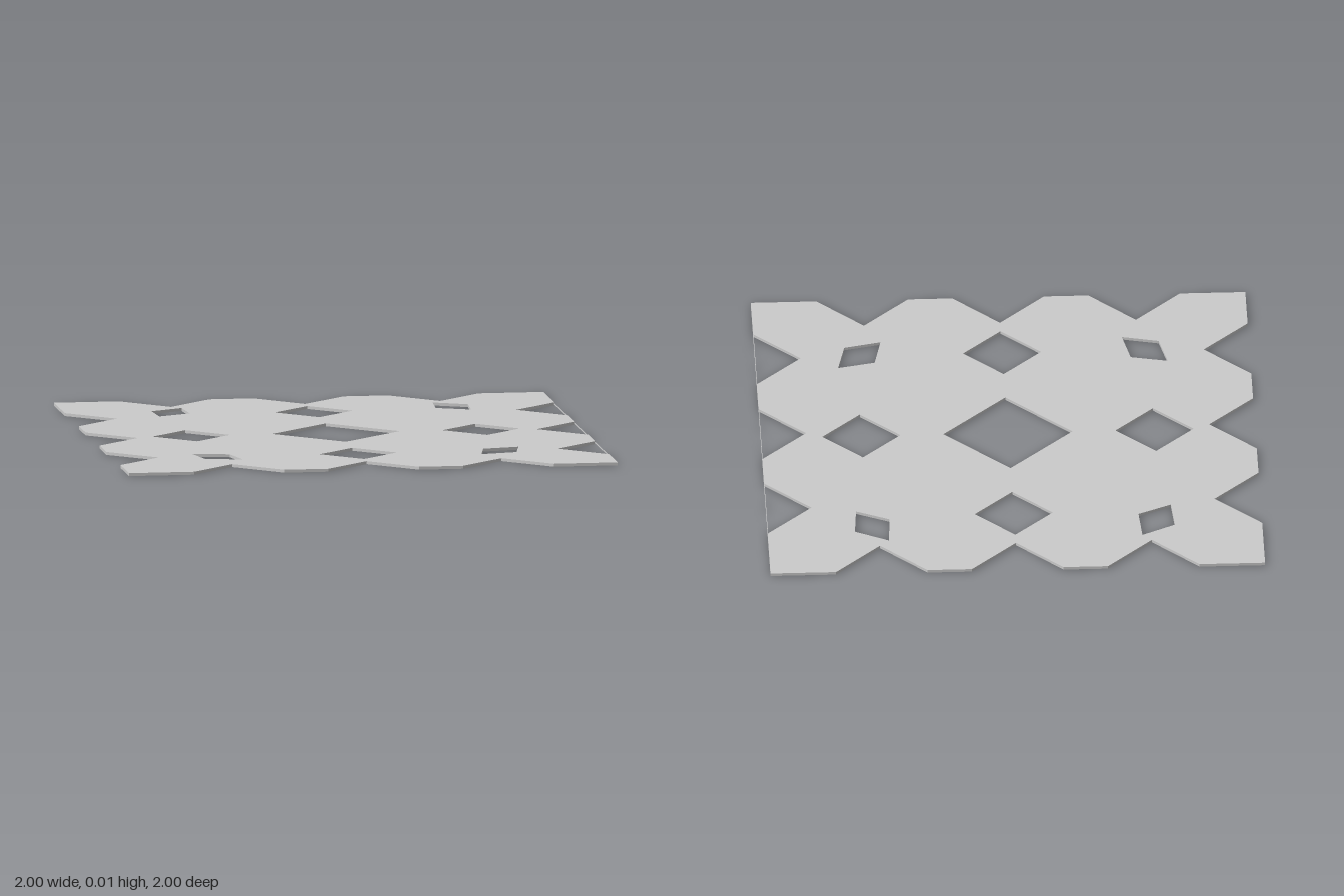
import * as THREE from 'three';

const T = 0.012; // sheet thickness

const points = (list) => list.map(([x, z]) => new THREE.Vector2(x, z));
const mirrorX = (list) => list.map(([x, z]) => [-x, z]);
const diamond = (x, z, r) => [[x - r, z], [x, z - r], [x + r, z], [x, z + r]];

export function createModel() {
  const group = new THREE.Group();
  group.name = 'cutPaperSheet';
  const material = new THREE.MeshStandardMaterial({ color: 0xcccccc });

  // Outline drawn in (x, z): square with three V notches on each side
  const notchX = [-0.55, 0, 0.55];
  const notchZ = [-0.52, 0.03, 0.583];
  const h = 0.185;
  const back = notchX.flatMap((x) => [[x - h, -1], [x, -0.813], [x + h, -1]]);
  const right = notchZ.flatMap((z) => [[1, z - h], [0.815, z], [1, z + h]]);
  const front = back.map(([x, z]) => [x, -z]).reverse();
  const left = mirrorX(right).reverse();
  const shape = new THREE.Shape(points([
    [-1, -1], ...back, [1, -1], ...right, [1, 1], ...front, [-1, 1], ...left,
  ]));

  // Cut-outs: large centre diamond, four smaller ones, four skewed rhombs
  const backRhomb = [[-0.513, -0.775], [-0.503, -0.62], [-0.637, -0.556], [-0.647, -0.705]];
  const frontRhomb = [[-0.667, 0.505], [-0.518, 0.538], [-0.488, 0.688], [-0.636, 0.653]];
  const holes = [
    diamond(0, 0, 0.261),
    diamond(0, -0.595, 0.158), diamond(0, 0.592, 0.158),
    diamond(-0.593, 0, 0.158), diamond(0.593, 0, 0.158),
    backRhomb, mirrorX(backRhomb), frontRhomb, mirrorX(frontRhomb),
  ];
  for (const hole of holes) shape.holes.push(new THREE.Path(points(hole)));

  const geometry = new THREE.ExtrudeGeometry(shape, { depth: T, bevelEnabled: false });
  geometry.rotateX(Math.PI / 2).translate(0, T, 0);
  const sheet = new THREE.Mesh(geometry, material);
  sheet.name = 'sheet';
  group.add(sheet);

  // Hairline strip closing the notches along the right edge
  const strip = new THREE.Mesh(new THREE.BoxGeometry(0.002, 0.004, 2), material);
  strip.name = 'edgeStrip';
  strip.position.set(0.999, T / 2, 0);
  group.add(strip);

  return group;
}
